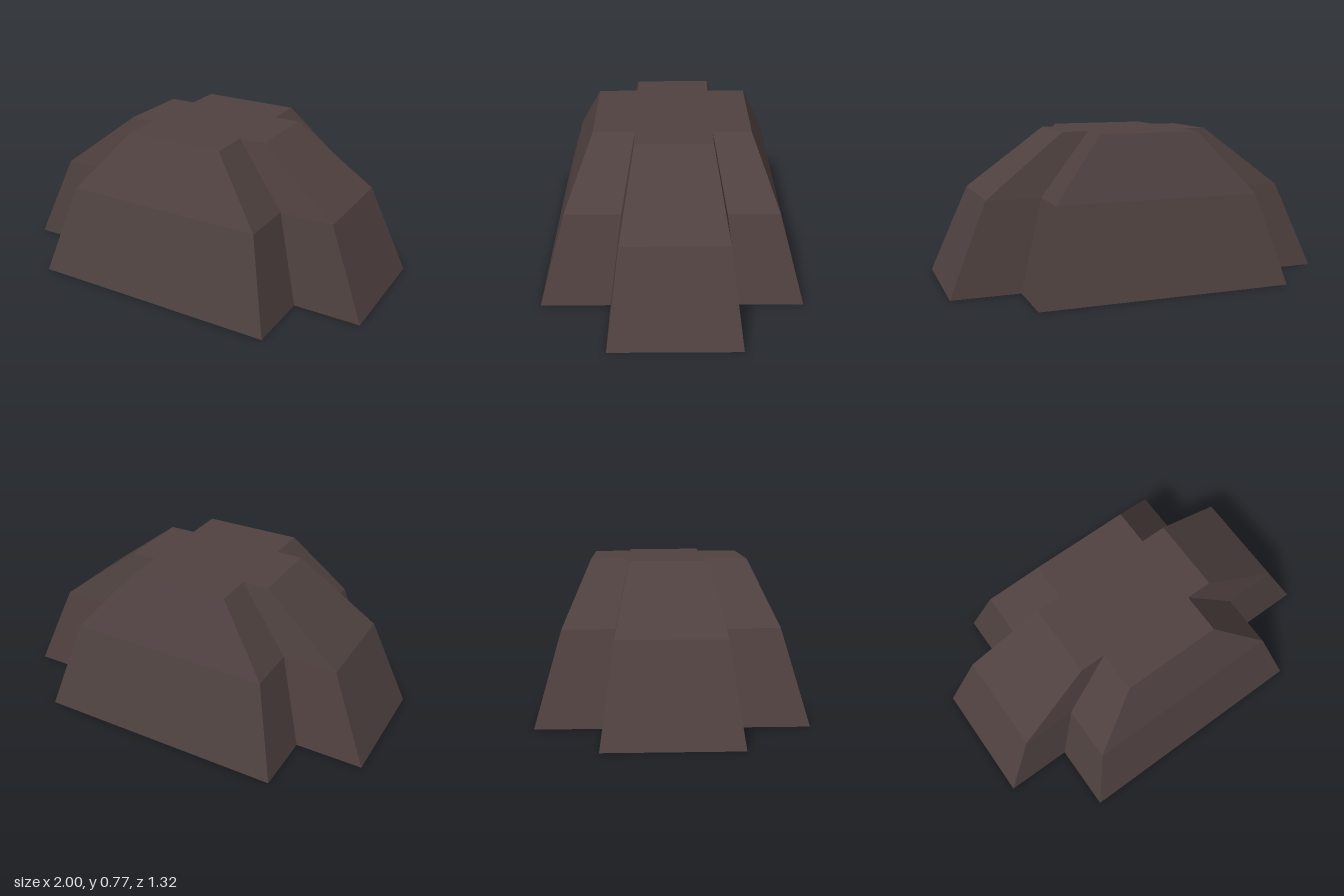
import * as THREE from 'three';

// Cross-shaped outline at one height, counter-clockwise seen from above
function crossRing({ y, armX, innerX, frontZ, backZ, innerFront, innerBack }) {
  return [
    [armX, innerFront], [armX, -innerBack], [innerX, -innerBack], [innerX, -backZ],
    [-innerX, -backZ], [-innerX, -innerBack], [-armX, -innerBack], [-armX, innerFront],
    [-innerX, innerFront], [-innerX, frontZ], [innerX, frontZ], [innerX, innerFront],
  ].map(([x, z]) => [x, y, z]);
}

function surface(quads) {
  const pos = [];
  for (const [a, b, c, d] of quads) pos.push(...a, ...b, ...c, ...a, ...c, ...d);
  const geo = new THREE.BufferGeometry();
  geo.setAttribute('position', new THREE.Float32BufferAttribute(pos, 3));
  geo.computeVertexNormals();
  return geo;
}

export function createModel() {
  const group = new THREE.Group();
  group.name = 'crossMound';
  const darkBrown = new THREE.MeshStandardMaterial({ color: 0x4f4140 });
  darkBrown.name = 'darkBrown';

  const rings = [
    { y: 0, armX: 1, innerX: 0.652, frontZ: 0.66, backZ: 0.66, innerFront: 0.31, innerBack: 0.335 },
    { y: 0.46, armX: 0.805, innerX: 0.528, frontZ: 0.53, backZ: 0.532, innerFront: 0.248, innerBack: 0.272 },
    { y: 0.775, armX: 0.395, innerX: 0.26, frontZ: 0.393, backZ: 0.4, innerFront: 0.183, innerBack: 0.205 },
  ].map(crossRing);

  const add = (name, quads) => {
    const mesh = new THREE.Mesh(surface(quads), darkBrown);
    mesh.name = name;
    group.add(mesh);
  };

  // Two tiers of sloping walls
  ['lowerWalls', 'upperWalls'].forEach((name, k) => {
    const low = rings[k], high = rings[k + 1];
    add(name, low.map((p, i) => {
      const j = (i + 1) % low.length;
      return [p, low[j], high[j], high[i]];
    }));
  });

  // Flat cross-shaped roof and base: a long bar plus two side arms
  const bars = [[0, 1, 6, 7], [2, 3, 4, 5], [8, 9, 10, 11]];
  add('roof', bars.map((q) => q.map((i) => rings[2][i])));
  add('base', bars.map((q) => q.map((i) => rings[0][i]).reverse()));
  return group;
}
